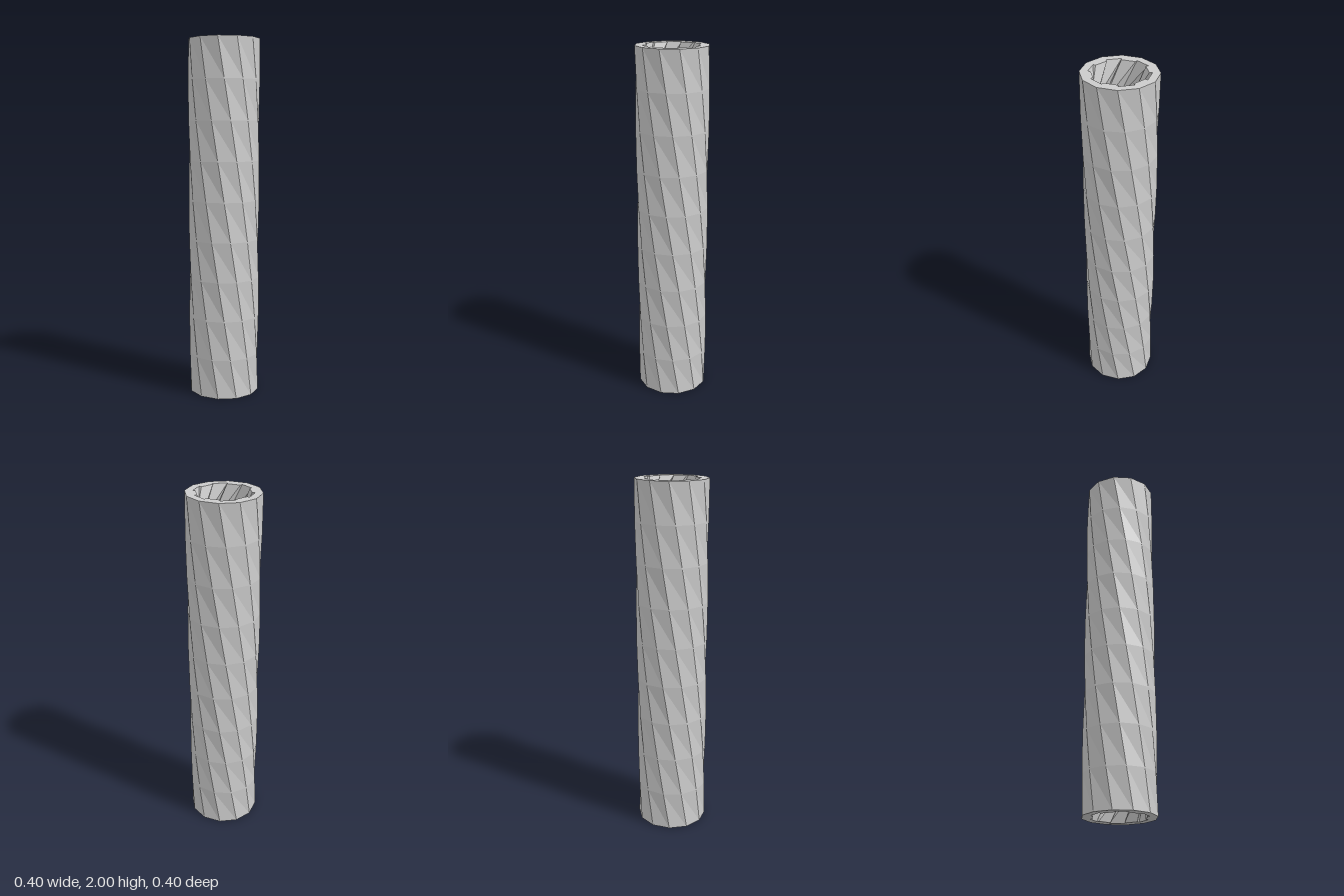
import * as THREE from 'three';

const SIDES = 12, LAYERS = 9, HEIGHT = 2;
const STEP = (Math.PI * 2) / SIDES;
const TWIST = (Math.PI * 2) / LAYERS; // one full turn over the length
const START = THREE.MathUtils.degToRad(18);
const OUTER = 0.2, GROOVE = 0.158, LAND = 0.143;

// Point of a cross-section, turned with its layer
function point([angle, r], layer) {
  const a = START + angle + layer * TWIST;
  return [r * Math.cos(a), (HEIGHT * layer) / LAYERS, r * Math.sin(a)];
}

function meshFrom(name, triangles, material) {
  const geometry = new THREE.BufferGeometry();
  geometry.setAttribute('position', new THREE.Float32BufferAttribute(triangles.flat(2), 3));
  geometry.computeVertexNormals();
  const mesh = new THREE.Mesh(geometry, material);
  mesh.name = name;
  return mesh;
}

// Stack of twisted layers; the bore is wound inwards
function twistedWall(profile, inward) {
  const triangles = [];
  for (let k = 0; k < LAYERS; k++) {
    profile.forEach((p, i) => {
      const q = profile[(i + 1) % profile.length];
      const a = point(p, k), b = point(q, k), c = point(q, k + 1), d = point(p, k + 1);
      if (inward) triangles.push([a, b, c], [a, c, d]);
      else triangles.push([a, d, b], [b, d, c]);
    });
  }
  return triangles;
}

// Flat ring between the outer wall and the bore
function endRing(layer, up) {
  const triangles = [];
  for (let i = 0; i < SIDES; i++) {
    const r = boreRadius(i);
    const a = point([i * STEP, OUTER], layer), b = point([(i + 1) * STEP, OUTER], layer);
    const p = point([i * STEP, r], layer), q = point([(i + 1) * STEP, r], layer);
    if (up) triangles.push([a, p, q], [a, q, b]);
    else triangles.push([a, q, p], [a, b, q]);
  }
  return triangles;
}

// Grooves alternate with raised lands
const boreRadius = (i) => (i % 2 === 0 ? GROOVE : LAND);

export function createModel() {
  const group = new THREE.Group();
  group.name = 'twistedTube';
  const material = new THREE.MeshStandardMaterial({ color: 0xcccccc, flatShading: true });

  const outer = [], bore = [];
  for (let i = 0; i < SIDES; i++) {
    outer.push([i * STEP, OUTER]);
    bore.push([i * STEP, boreRadius(i)], [(i + 1) * STEP, boreRadius(i)]);
  }

  group.add(
    meshFrom('outerWall', twistedWall(outer, false), material),
    meshFrom('groovedBore', twistedWall(bore, true), material),
    meshFrom('topRim', endRing(LAYERS, true), material),
    meshFrom('bottomRim', endRing(0, false), material)
  );
  return group;
}
